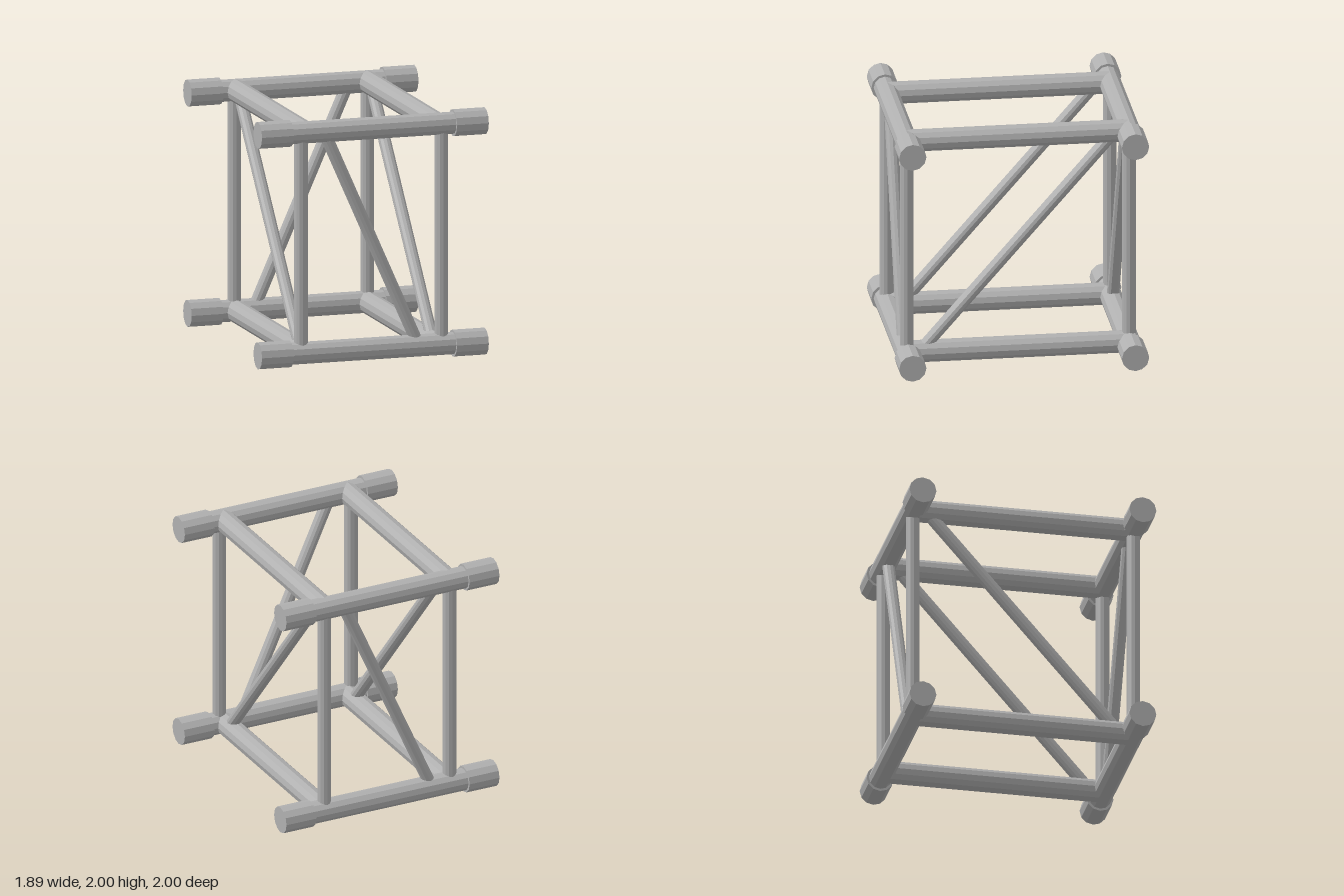
import * as THREE from 'three';

const SIDES = 12;
const RAIL = 0.89;   // half spacing of the rails in y and z
const CROSS_X = 0.55; // x of the end frames

export function createModel() {
  const model = new THREE.Group();
  model.name = 'boxTruss';
  const steel = new THREE.MeshStandardMaterial({ color: 0xb0b0b0, flatShading: true });
  steel.name = 'grey steel';

  // Straight faceted tube between two points
  function tube(name, from, to, radius) {
    const a = new THREE.Vector3(...from);
    const b = new THREE.Vector3(...to);
    const dir = b.clone().sub(a);
    const mesh = new THREE.Mesh(new THREE.CylinderGeometry(radius, radius, dir.length(), SIDES), steel);
    mesh.name = name;
    mesh.position.copy(a).add(b).multiplyScalar(0.5);
    mesh.quaternion.setFromUnitVectors(new THREE.Vector3(0, 1, 0), dir.normalize());
    model.add(mesh);
  }

  const low = 1 - RAIL, high = 1 + RAIL;

  // Four long rails, each with a thicker coupler at both ends
  for (const y of [low, high]) {
    for (const z of [-RAIL, RAIL]) {
      tube('rail', [-0.7, y, z], [0.7, y, z], 0.09);
      for (const s of [-1, 1]) tube('coupler', [s * 0.68, y, z], [s * 0.945, y, z], 0.109);
    }
  }

  for (const s of [-1, 1]) {
    // Cross bars running front to back
    for (const y of [low, high]) tube('crossBar', [s * CROSS_X, y, -RAIL], [s * CROSS_X, y, RAIL], 0.09);
    // Upright posts
    tube('frontPost', [s * 0.585, low, RAIL], [s * 0.585, high, RAIL], 0.055);
    tube('backPost', [s * 0.555, low, -RAIL], [s * 0.555, high, -RAIL], 0.055);
    // Side braces rise from front to back
    tube('sideBrace', [s * CROSS_X, low, 0.78], [s * CROSS_X, high, -0.78], 0.05);
  }

  // Front and back braces lean opposite ways
  tube('frontBrace', [0.395, low, RAIL], [-0.395, high, RAIL], 0.05);
  tube('backBrace', [-0.395, low, -RAIL], [0.395, high, -RAIL], 0.05);

  return model;
}
